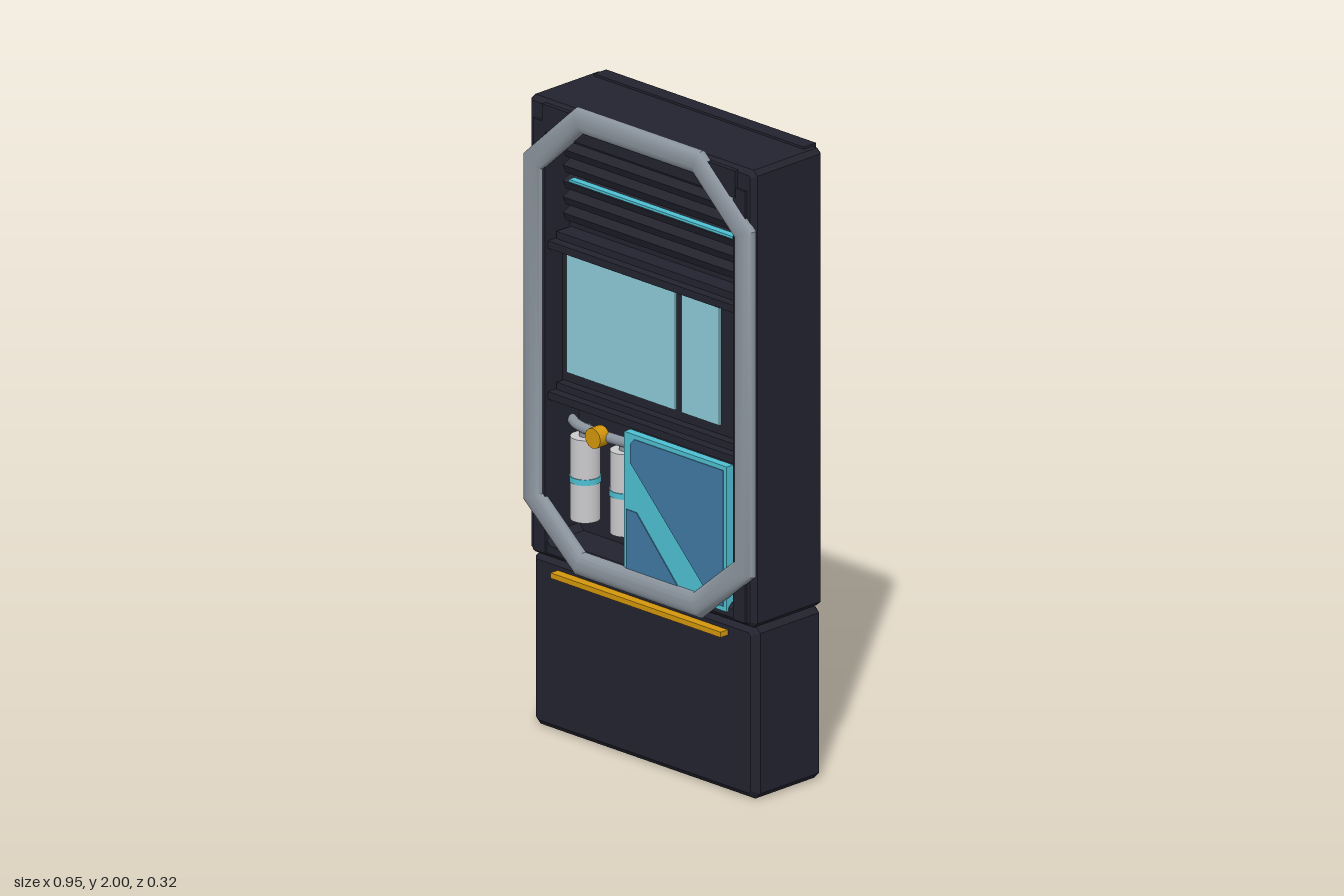
import * as THREE from 'three';
import { toCreasedNormals } from 'three/addons/utils/BufferGeometryUtils.js';

const mat = (name, color) => Object.assign(new THREE.MeshStandardMaterial({ color }), { name });

export function createModel() {
  const dark = mat('dark casing', 0x23232f);
  const steel = mat('steel grey', 0x8b949e);
  const glass = mat('pale glass', 0x8ccbd7);
  const cyan = mat('cyan', 0x4dbfd1);
  const blue = mat('blue', 0x4079a2);
  const amber = mat('amber', 0xd2960c);
  const white = mat('bottle white', 0xcacacd);
  const root = new THREE.Group();

  const add = (name, geo, m, x = 0, y = 0, z = 0, parent = root) => {
    const mesh = new THREE.Mesh(geo, m);
    mesh.name = name;
    mesh.position.set(x, y, z);
    parent.add(mesh);
    return mesh;
  };
  // Box given by its limits
  const box = (name, m, x0, x1, y0, y1, z0, z1) =>
    add(name, new THREE.BoxGeometry(x1 - x0, y1 - y0, z1 - z0), m, (x0 + x1) / 2, (y0 + y1) / 2, (z0 + z1) / 2);
  const poly = (pts) => pts.map(([x, y]) => new THREE.Vector2(x, y));
  // Rectangle with cut corners
  const cutRect = (x, y0, y1, c) => poly([
    [-x + c, y0], [x - c, y0], [x, y0 + c], [x, y1 - c],
    [x - c, y1], [-x + c, y1], [-x, y1 - c], [-x, y0 + c]]);
  // Chamfered slab, with an optional opening
  const slab = (outline, hole, z0, z1, c) => {
    const shape = new THREE.Shape(outline);
    if (hole) shape.holes.push(new THREE.Path(hole));
    const g = new THREE.ExtrudeGeometry(shape, {
      depth: z1 - z0 - 2 * c, bevelEnabled: true, bevelSize: c,
      bevelThickness: c, bevelOffset: -c, bevelSegments: 1 });
    return g.translate(0, 0, z0 + c);
  };

  // Casing: plinth, open cabinet, back and top lip
  add('base', slab(cutRect(0.465, 0, 0.545, 0.02), null, -0.16, 0.125, 0.02), dark);
  add('cabinet', slab(cutRect(0.468, 0.545, 1.985, 0.015),
    cutRect(0.39, 0.6, 1.9, 0.02), -0.16, 0.135, 0.015), dark);
  box('cabinetBack', dark, -0.43, 0.43, 0.58, 1.93, -0.16, 0);
  box('topLip', dark, -0.435, 0.435, 1.95, 1.992, -0.159, -0.108);
  box('frontHeader', dark, -0.4, 0.4, 1.89, 1.975, 0.12, 0.145);
  for (const s of [-1, 1]) {
    const x = s * 0.415;
    box('sidePost', dark, x - 0.025, x + 0.025, 0.56, 1.92, 0.1, 0.143);
  }

  // Shelves between the compartments
  for (const y of [1.055, 1.53]) {
    box('shelf', dark, -0.39, 0.39, y - 0.012, y + 0.012, 0, 0.13);
    box('shelfLip', dark, -0.385, 0.385, y + 0.012, y + 0.035, 0, 0.1);
  }

  // Louvres with a light strip
  box('louvreBack', dark, -0.39, 0.39, 1.56, 1.9, 0, 0.04);
  for (let i = 0; i < 6; i++) {
    const slat = box('louvre', dark, -0.375, 0.375, 1.605 + i * 0.05, 1.635 + i * 0.05, 0.03, 0.08);
    slat.rotation.x = 0.45;
  }
  box('lightStrip', cyan, -0.34, 0.34, 1.731, 1.739, 0.07, 0.094);

  // Display panel with two screens
  box('screenPanel', dark, -0.39, 0.39, 1.06, 1.53, 0, 0.07);
  box('largeScreen', glass, -0.367, 0.083, 1.12, 1.505, 0.069, 0.077);
  box('smallScreen', glass, 0.11, 0.267, 1.12, 1.505, 0.069, 0.077);

  // Bottle racks: pipe, valve and two banded bottles on each side
  const bottleGeo = new THREE.CylinderGeometry(0.045, 0.045, 0.26, 24);
  const bandGeo = new THREE.CylinderGeometry(0.048, 0.048, 0.018, 24);
  const neckGeo = new THREE.CylinderGeometry(0.018, 0.018, 0.04, 16);
  for (const s of [-1, 1]) {
    const rack = new THREE.Group();
    rack.name = s < 0 ? 'rightBottleRack' : 'leftBottleRack';
    root.add(rack);
    for (const x of [0.15, 0.315]) {
      add('bottle', bottleGeo, white, s * x, 0.797, 0.05, rack);
      add('bottleBand', bandGeo, cyan, s * x, 0.795, 0.05, rack);
      add('bottleNeck', neckGeo, steel, s * x, 0.94, 0.05, rack);
    }
    const curve = new THREE.CatmullRomCurve3([[0.39, 0.03], [0.34, 0.055], [0.23, 0.065], [0.12, 0.055], [0.07, 0.03]]
      .map(([x, z]) => new THREE.Vector3(s * x, 0.955, z)));
    add('pipe', new THREE.TubeGeometry(curve, 24, 0.016, 12), steel, 0, 0, 0, rack);
    const valve = add('valve', new THREE.CylinderGeometry(0.032, 0.032, 0.04, 12), amber, s * 0.23, 0.955, 0.085, rack);
    valve.rotation.x = Math.PI / 2;
  }

  // Hinged door with painted blue fields
  box('door', cyan, -0.063, 0.362, 0.575, 1.032, 0.115, 0.142);
  const field = (pts) => add('doorField', new THREE.ExtrudeGeometry(new THREE.Shape(poly(pts)),
    { depth: 0.004, bevelEnabled: false }), blue, 0, 0, 0.141);
  field([[-0.035, 0.94], [0.31, 0.59], [0.35, 0.59], [0.35, 1.018], [-0.02, 1.018], [-0.035, 1.0]]);
  field([[-0.052, 0.585], [0.165, 0.585], [0.165, 0.6], [-0.01, 0.79], [-0.052, 0.79]]);

  // Amber handle bar above the base
  box('handleBar', amber, -0.355, 0.35, 0.495, 0.512, 0.115, 0.155);

  // Rounded octagonal ring around the opening
  const octagon = (d) => {
    const k = d * 0.414, a = 0.4375 + d, b = 0.245 + k;
    const top = 1.962 + d, bottom = 0.567 - d, hi = 1.785 + k, lo = 0.73 - k;
    return poly([[-b, bottom], [b, bottom], [a, lo], [a, hi], [b, top], [-b, top], [-a, hi], [-a, lo]]);
  };
  const ringShape = new THREE.Shape(octagon(0.003));
  ringShape.holes.push(new THREE.Path(octagon(-0.003)));
  const ringGeo = new THREE.ExtrudeGeometry(ringShape, {
    depth: 0.002, bevelEnabled: true, bevelSize: 0.035, bevelThickness: 0.022, bevelSegments: 8 });
  add('frontRing', toCreasedNormals(ringGeo, 0.6), steel, 0, 0, 0.139);

  return root;
}
